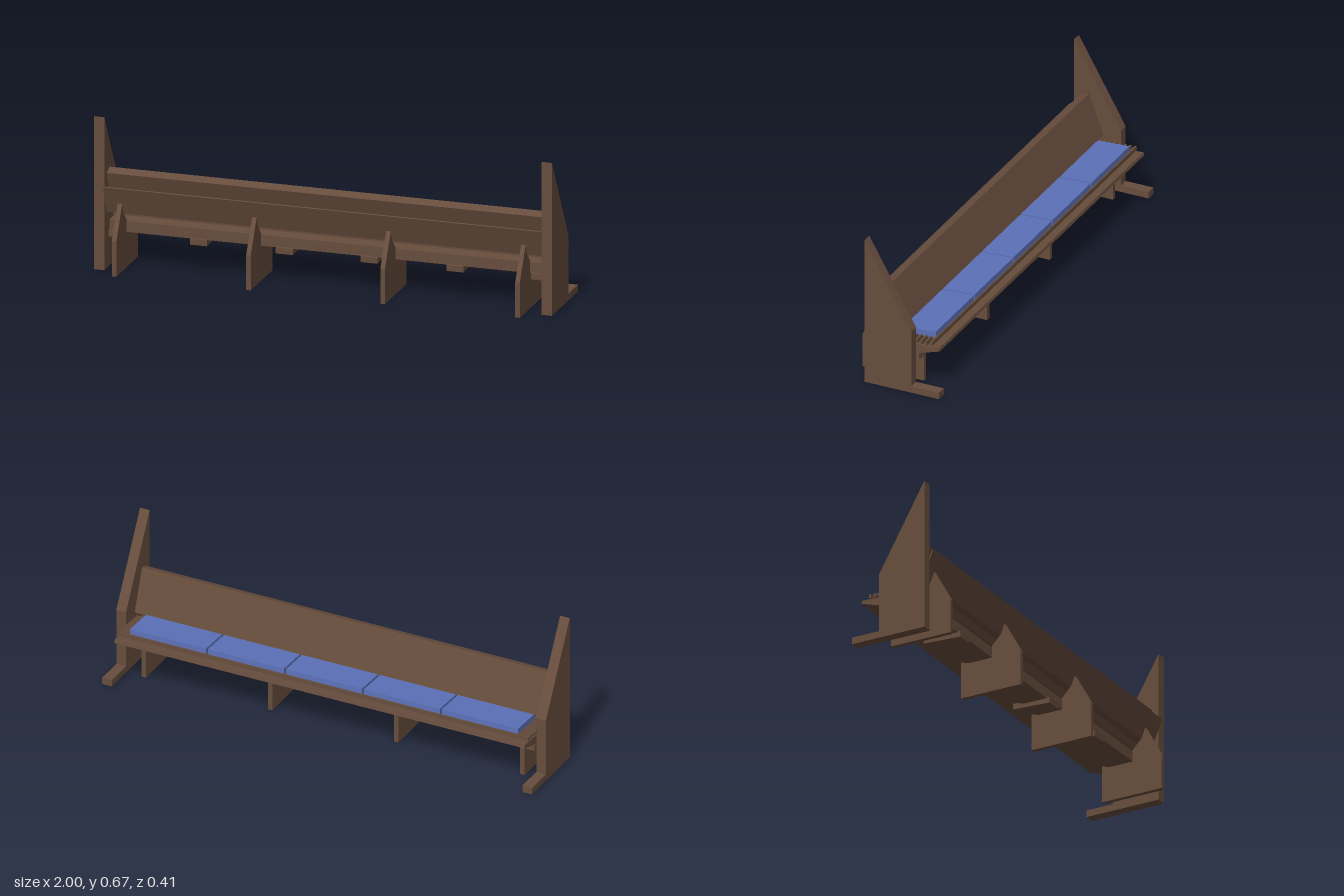
import * as THREE from 'three';

export function createModel() {
  const model = new THREE.Group();
  model.name = 'bench';
  const wood = new THREE.MeshStandardMaterial({ color: 0x674d3d });
  const fabric = new THREE.MeshStandardMaterial({ color: 0x5c71b8 });

  // Extrudes a side profile of [z, y] points from x0 to x1
  function slab(name, points, x0, x1, material = wood) {
    const shape = new THREE.Shape(points.map(([z, y]) => new THREE.Vector2(-z, y)));
    const geometry = new THREE.ExtrudeGeometry(shape, { depth: x1 - x0, bevelEnabled: false });
    geometry.rotateY(Math.PI / 2);
    geometry.translate(x0, 0, 0);
    const mesh = new THREE.Mesh(geometry, material);
    mesh.name = name;
    model.add(mesh);
  }

  // Rectangle profile, given its rear top corner, depth, height and tilt
  function tilted(z, y, depth, height, tilt) {
    const c = Math.cos(tilt), s = Math.sin(tilt);
    return [[0, 0], [depth, 0], [depth, -height], [0, -height]]
      .map(([a, b]) => [z + a * c + b * s, y - a * s + b * c]);
  }

  const inner = 0.955;
  const seatTilt = 0.046;
  const backTilt = 0.35;

  // End panels with a foot reaching backwards
  const endProfile = [[0.14, 0], [0.14, 0.667], [-0.077, 0.288], [-0.077, 0.03], [-0.205, 0.03], [-0.205, 0]];
  slab('leftEndPanel', endProfile, inner, 1);
  slab('rightEndPanel', endProfile, -1, -inner);

  // Thick leaning backrest
  slab('backrest', tilted(0.07, 0.43, 0.043, 0.195, backTilt), -inner, inner);

  // Thin shelf pocket on the far side of the backrest
  slab('pocketLip', tilted(0.15, 0.368, 0.006, 0.12, backTilt), -inner, inner);
  slab('pocketFloor', tilted(0.046, 0.277, 0.07, 0.008, backTilt), -inner, inner);

  // Tapered seat board
  slab('seatBoard', [[-0.182, 0.212], [0.07, 0.2], [0.07, 0.153], [-0.04, 0.153], [-0.185, 0.198]], -inner, inner);

  // Slats carrying the cushions
  for (let i = 0; i < 8; i++) {
    const z = -0.15 + i * 0.0228;
    slab('slat', tilted(z, 0.233 - (z + 0.15) * seatTilt, 0.01, 0.018, seatTilt), -inner, inner);
  }

  // Five seat cushions
  for (let i = 0; i < 5; i++) {
    const x = (i - 2) * 0.363;
    slab('cushion', tilted(-0.142, 0.256, 0.155, 0.031, seatTilt), x - 0.177, x + 0.177, fabric);
  }

  // Upright supports under the seat
  const supportProfile = [[0.207, 0], [0.207, 0.153], [0.128, 0.296], [0.112, 0.25],
    [0.065, 0.2], [-0.04, 0.155], [-0.077, 0.165], [-0.077, 0]];
  for (const x of [-0.89, -0.303, 0.283, 0.872]) slab('support', supportProfile, x - 0.01, x + 0.01);

  // Cross battens below the seat board
  for (const [x0, x1] of [[-inner, -0.9], [-0.6, -0.525], [-0.225, -0.15], [0.145, 0.22], [0.52, 0.595], [0.89, inner]]) {
    slab('batten', tilted(-0.091, 0.164, 0.175, 0.026, seatTilt), x0, x1);
  }

  return model;
}
